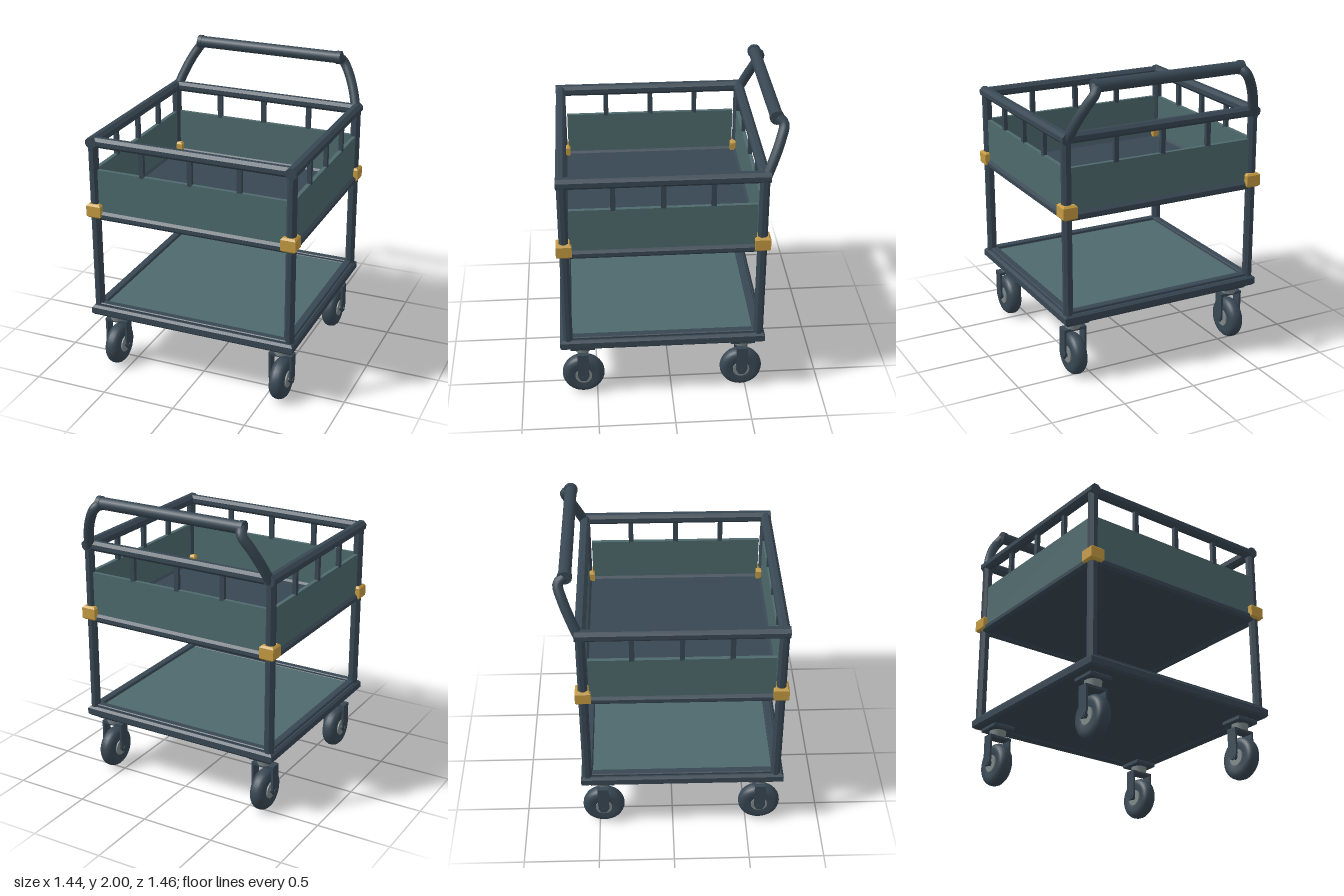
import * as THREE from 'three';
import { toCreasedNormals } from 'three/addons/utils/BufferGeometryUtils.js';

const mat = (name, color) => {
  const m = new THREE.MeshStandardMaterial({ color });
  m.name = name;
  return m;
};

export function createModel() {
  const steel = mat('dark steel', 0x384753);
  const teal = mat('teal panel', 0x4d696c);
  const brass = mat('brass', 0xc49a42);
  const grey = mat('grey metal', 0x7d8788);

  const cart = new THREE.Group();
  cart.name = 'utilityCart';

  const add = (name, geo, material, x = 0, y = 0, z = 0, parent = cart) => {
    const mesh = new THREE.Mesh(geo, material);
    mesh.name = name;
    mesh.position.set(x, y, z);
    parent.add(mesh);
    return mesh;
  };
  const box = (w, h, d) => new THREE.BoxGeometry(w, h, d);

  // Eight-sided bar with flat faces; r is the distance from axis to face
  const bar = (r, length, axis = 'y') => {
    let g = new THREE.CylinderGeometry(r / Math.cos(Math.PI / 8), r / Math.cos(Math.PI / 8), length, 8);
    g.rotateY(Math.PI / 8);
    if (axis === 'x') g.rotateZ(Math.PI / 2);
    if (axis === 'z') g.rotateX(Math.PI / 2);
    g = g.toNonIndexed();
    g.computeVertexNormals();
    return g;
  };

  const rect = (w, d, Type = THREE.Shape) => {
    const s = new Type();
    s.moveTo(-w / 2, -d / 2);
    s.lineTo(w / 2, -d / 2);
    s.lineTo(w / 2, d / 2);
    s.lineTo(-w / 2, d / 2);
    s.closePath();
    return s;
  };

  // Chamfered block or frame, extruded upwards and centred
  const chamfered = (w, h, d, b, rim = 0) => {
    const s = rect(w - 2 * b, d - 2 * b);
    if (rim) s.holes.push(rect(w - 2 * rim + 2 * b, d - 2 * rim + 2 * b, THREE.Path));
    const g = new THREE.ExtrudeGeometry(s, {
      depth: h - 2 * b, bevelEnabled: true, bevelSize: b, bevelThickness: b, bevelSegments: 1,
    });
    g.rotateX(-Math.PI / 2);
    g.center();
    return g;
  };

  const X = 0.675, FRONT = 0.682, BACK = -0.568;
  const MID = (FRONT + BACK) / 2, DEPTH = FRONT - BACK;

  // Lower deck: chamfered frame, raised lip, base plate and mat
  add('lowerFrame', chamfered(1.43, 0.07, 1.345, 0.015, 0.09), steel, 0, 0.44, 0.0625);
  add('lowerLip', chamfered(1.38, 0.03, 1.295, 0.005, 0.05), steel, 0, 0.477, 0.0625);
  add('lowerPlate', box(1.32, 0.03, 1.235), steel, 0, 0.43, 0.0625);
  add('lowerMat', box(1.29, 0.02, 1.205), teal, 0, 0.462, 0.0625);

  // Corner posts and brass clamps
  for (const sx of [-1, 1]) for (const z of [FRONT, BACK]) {
    add('cornerPost', bar(0.03, 1.16), steel, sx * X, 1.05, z);
    add('cornerClamp', chamfered(0.1, 0.095, 0.1, 0.012), brass, sx * 0.67, 1.165, z);
  }

  // Upper tray floor
  add('trayFloor', box(2 * X, 0.03, DEPTH), steel, 0, 1.13, MID);

  // Front and back: rails, panel, balusters
  for (const z of [FRONT, BACK]) {
    add('topRail', bar(0.033, 2 * X, 'x'), steel, 0, 1.632, z);
    add('trayRail', bar(0.03, 2 * X - 0.04, 'x'), steel, 0, 1.13, z);
    add('trayPanel', box(1.3, 0.29, 0.026), teal, 0, 1.3, z);
    for (const x of [-0.333, 0, 0.333]) add('baluster', box(0.032, 0.18, 0.026), steel, x, 1.525, z);
  }
  // Left and right: rails, panel, balusters
  for (const sx of [-1, 1]) {
    add('topRail', bar(0.036, DEPTH + 0.07, 'z'), steel, sx * X, 1.632, MID);
    add('trayRail', bar(0.03, DEPTH - 0.04, 'z'), steel, sx * X, 1.13, MID);
    add('trayPanel', box(0.026, 0.29, 1.175), teal, sx * X, 1.3, MID);
    for (const dz of [-0.312, 0, 0.312]) add('baluster', box(0.026, 0.18, 0.032), steel, sx * X, 1.525, MID + dz);
  }

  // Push handle: grip, end caps and curved arms
  const handle = new THREE.Group();
  handle.name = 'handle';
  cart.add(handle);
  const round = (r, l) => new THREE.CylinderGeometry(r, r, l, 20).rotateZ(Math.PI / 2);
  add('grip', round(0.04, 1.0), steel, 0, 1.955, -0.648, handle);
  for (const s of [-1, 1]) {
    add('gripCap', round(0.045, 0.03), steel, s * 0.515, 1.955, -0.648, handle);
    const path = new THREE.CatmullRomCurve3([
      [0.67, 1.62, -0.575], [0.635, 1.73, -0.623], [0.585, 1.84, -0.668],
      [0.535, 1.92, -0.69], [0.512, 1.955, -0.655],
    ].map(([x, y, z]) => new THREE.Vector3(s * x, y, z)));
    add('handleArm', new THREE.TubeGeometry(path, 20, 0.033, 12), steel, 0, 0, 0, handle);
  }

  // Caster parts; the wheel axle runs along x
  const P = (x, y) => new THREE.Vector2(x, y);
  const tyre = toCreasedNormals(new THREE.LatheGeometry([
    P(0.05, -0.04), P(0.095, -0.048), P(0.118, -0.045), P(0.133, -0.03), P(0.14, -0.012),
    P(0.14, 0.012), P(0.133, 0.03), P(0.118, 0.045), P(0.095, 0.048), P(0.05, 0.04),
  ], 32), 0.7).rotateZ(Math.PI / 2);
  const cheekShape = new THREE.Shape();
  cheekShape.moveTo(-0.037, 0.33);
  cheekShape.lineTo(-0.037, 0.155);
  cheekShape.lineTo(-0.018, 0.12);
  cheekShape.lineTo(0.018, 0.12);
  cheekShape.lineTo(0.037, 0.155);
  cheekShape.lineTo(0.037, 0.33);
  cheekShape.closePath();
  const cheek = new THREE.ExtrudeGeometry(cheekShape, { depth: 0.014, bevelEnabled: false })
    .translate(0, 0, -0.007).rotateY(Math.PI / 2);

  for (const x of [-0.595, 0.595]) for (const z of [0.59, -0.47]) {
    const c = new THREE.Group();
    c.name = 'caster';
    c.position.set(x, 0, z);
    cart.add(c);
    add('mountPlate', chamfered(0.16, 0.03, 0.16, 0.006), steel, 0, 0.385, 0, c);
    add('mountSpacer', box(0.11, 0.02, 0.11), steel, 0, 0.402, 0, c);
    add('swivel', new THREE.CylinderGeometry(0.056, 0.05, 0.045, 20), grey, 0, 0.35, 0, c);
    add('forkCrown', box(0.16, 0.018, 0.074), steel, 0, 0.322, 0, c);
    for (const s of [-1, 1]) add('forkCheek', cheek, steel, s * 0.072, 0, 0, c);
    add('tyre', tyre, steel, 0, 0.14, 0, c);
    add('hub', round(0.056, 0.1), grey, 0, 0.14, 0, c);
    add('axle', round(0.018, 0.164), steel, 0, 0.14, 0, c);
  }

  return cart;
}
